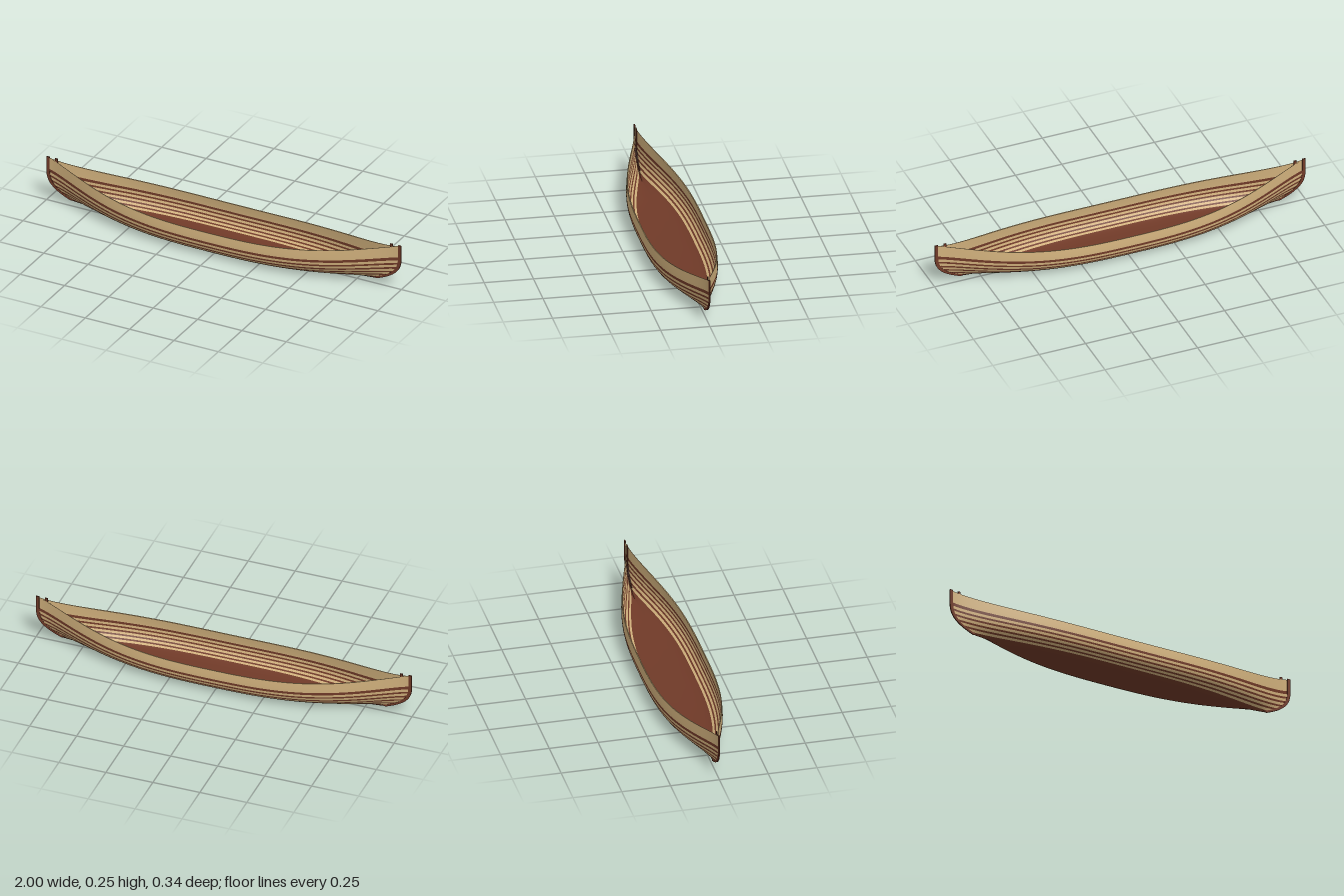
import * as THREE from 'three';

const SEG = 96;
const SKIN = 0.005;

// Midship half section from keel to sheer: (z, y)
const section = new THREE.SplineCurve([
  [0, 0], [0.08, 0.003], [0.12, 0.013], [0.15, 0.031], [0.165, 0.056],
  [0.17, 0.085], [0.168, 0.118], [0.165, 0.143],
].map(([z, y]) => new THREE.Vector2(z, y)));

// Height at which each plank line meets the stem, by girth fraction
const stemSteps = [[0, 0.03], [0.43, 0.045], [0.775, 0.163], [0.82, 0.18], [1, 0.243]];
function stemHeight(f) {
  const k = Math.max(1, stemSteps.findIndex(([g]) => f <= g));
  const [f0, y0] = stemSteps[k - 1], [f1, y1] = stemSteps[k];
  return y0 + (y1 - y0) * (f - f0) / (f1 - f0);
}

// Curved stem profile: x of the leading edge at height y
function stemX(y) {
  const t = Math.min(1, Math.max(0, (y - 0.03) / 0.16));
  return 0.86 + 0.14 * (1 - Math.pow(1 - t, 3.2));
}

// Hull point: f runs across the girth (-1..1), u along the length (-1..1)
function hullPoint(f, u, inside) {
  const a = Math.abs(f), t = Math.abs(u);
  const p = section.getPointAt(a), tan = section.getTangentAt(a);
  const w = Math.pow(1 - t ** 3, 1.6);
  const off = inside ? SKIN * Math.min(1, 2 * w) : 0;
  const ySt = stemHeight(a);
  const z = Math.max(0, p.x * w - tan.y * off);
  const y = p.y + (ySt - p.y) * Math.pow(t, 2.5) + tan.x * off;
  return [u * (stemX(ySt) - 0.008), y, Math.sign(f) * z];
}

// Surface over a grid of rows, with one material group per row
function gridGeometry(rows, point, flip, rowMaterial) {
  const pos = [], index = [], geo = new THREE.BufferGeometry();
  const n = SEG + 1;
  for (let j = 0; j < rows; j++)
    for (let i = 0; i < n; i++) pos.push(...point(j, -1 + 2 * i / SEG));
  for (let j = 0; j < rows - 1; j++) {
    geo.addGroup(index.length, SEG * 6, rowMaterial(j));
    for (let i = 0; i < SEG; i++) {
      const a = j * n + i, b = a + 1, c = a + n, d = c + 1;
      index.push(...(flip ? [a, c, b, b, c, d] : [a, b, c, b, d, c]));
    }
  }
  geo.setAttribute('position', new THREE.Float32BufferAttribute(pos, 3));
  geo.setIndex(index);
  geo.computeVertexNormals();
  return geo;
}

// Curved stem timber as a thin extruded band behind the profile
function stemGeometry(shift, yLow, yHigh, depth, thick) {
  const front = [], back = [];
  for (let i = 0; i <= 24; i++) {
    const k = i / 24, y = yLow + (yHigh - yLow) * k * k;
    front.push(new THREE.Vector2(stemX(y) - shift, y));
    back.unshift(new THREE.Vector2(stemX(y) - shift - depth, y + 0.006 * (1 - k)));
  }
  const geo = new THREE.ExtrudeGeometry(new THREE.Shape([...front, ...back]),
    { depth: thick, bevelEnabled: false });
  return geo.translate(0, 0, -thick / 2);
}

export function createModel() {
  const model = new THREE.Group();
  model.name = 'canoe';
  const tan = new THREE.MeshStandardMaterial({ color: 0xd0b07c });
  tan.name = 'pale wood';
  const red = new THREE.MeshStandardMaterial({ color: 0x703a28 });
  red.name = 'red brown wood';
  const add = (name, geo, mat) => {
    const mesh = new THREE.Mesh(geo, mat);
    mesh.name = name;
    model.add(mesh);
    return mesh;
  };

  // Plank edges by girth: dark bottom, thin alternating strips, wide pale top plank
  const half = [], colour = [];
  for (const f of [0, 0.1, 0.2, 0.28, 0.35, 0.4]) { half.push(f); colour.push(1); }
  let f = 0.43;
  for (let k = 0; k < 9; k++) {
    half.push(f);
    colour.push(k % 2);
    f += k % 2 ? 0.0325 : 0.043;
  }
  half.push(0.775, 0.82, 0.88, 0.94, 1);
  colour.push(1, 0, 0, 0);
  const edges = [...half.slice(1).reverse().map(v => -v), ...half];
  const rowColours = [...colour.slice().reverse(), ...colour];

  // Outer and inner planking
  for (const inside of [false, true]) {
    add(inside ? 'innerPlanking' : 'outerPlanking',
      gridGeometry(edges.length, (j, u) => hullPoint(edges[j], u, inside), inside, j => rowColours[j]),
      [tan, red]);
  }

  // Top edges of the sides
  for (const side of [1, -1]) {
    add(side > 0 ? 'frontGunwale' : 'backGunwale',
      gridGeometry(2, (j, u) => hullPoint(side, u, j === 1), side < 0, () => 0), [tan]);
  }

  // Outer and inner stems at both ends
  for (const side of [1, -1]) {
    const turn = side > 0 ? 0 : Math.PI;
    const label = side > 0 ? 'left' : 'right';
    add(label + 'OuterStem', stemGeometry(0, 0.03, 0.246, 0.018, 0.006), red).rotation.y = turn;
    add(label + 'InnerStem', stemGeometry(0.048, 0.05, 0.246, 0.014, 0.005), red).rotation.y = turn;
  }
  return model;
}
